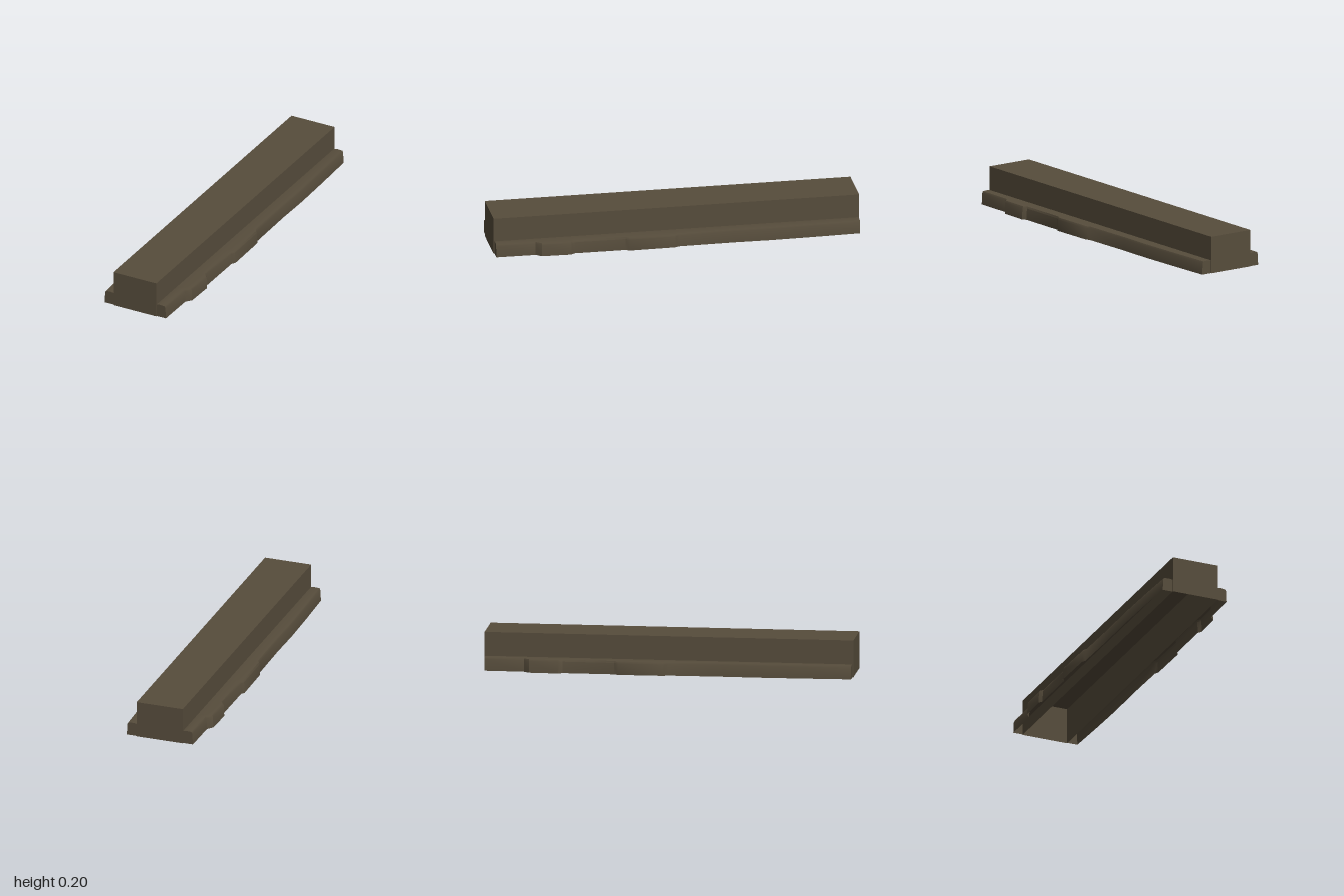
import * as THREE from 'three';
import { mergeVertices, toCreasedNormals } from 'three/addons/utils/BufferGeometryUtils.js';

const brown = new THREE.MeshStandardMaterial({ color: 0x574d3c, side: THREE.DoubleSide });
brown.name = 'earthBrown';

// Outer edge of the ledge along its length: [z, x]
const EDGE = [
  [-0.995, 0.19], [-0.75, 0.198], [-0.5, 0.203], [-0.3, 0.2], [0, 0.204],
  [0.02, 0.215], [0.27, 0.218], [0.29, 0.205], [0.57, 0.204], [0.59, 0.219],
  [0.75, 0.215], [0.78, 0.19], [0.995, 0.188],
];
const INNER = 0.132;

// Ledge skin: top, rounded shoulder and leaning outer wall, open below
function ledgeGeometry() {
  const section = (z, w) => [
    [INNER, 0.071, z], [w - 0.035, 0.074, z], [w - 0.008, 0.072, z],
    [w - 0.003, 0.062, z], [w, 0, z],
  ];
  const positions = [];
  const index = [];
  EDGE.forEach(([z, w]) => section(z, w).forEach((p) => positions.push(...p)));
  const n = 5;
  for (let i = 0; i < EDGE.length - 1; i++) {
    for (let j = 0; j < n - 1; j++) {
      const a = i * n + j, b = a + 1, c = a + n, d = c + 1;
      index.push(a, c, b, b, c, d);
    }
  }
  // End caps, fanned from the inner bottom corner
  [0, EDGE.length - 1].forEach((i) => {
    const corner = positions.length / 3;
    positions.push(INNER, 0, EDGE[i][0]);
    for (let j = 0; j < n - 1; j++) {
      const a = i * n + j;
      if (i === 0) index.push(corner, a, a + 1);
      else index.push(corner, a + 1, a);
    }
  });
  const g = new THREE.BufferGeometry();
  g.setAttribute('position', new THREE.Float32BufferAttribute(positions, 3));
  g.setIndex(index);
  return toCreasedNormals(mergeVertices(g), 0.6);
}

// Long block, hollow and open underneath
function blockGeometry() {
  const g = new THREE.BoxGeometry(INNER * 2, 0.202, 2);
  const faces = Array.from(g.index.array);
  faces.splice(18, 6); // remove the bottom face
  g.setIndex(faces);
  g.clearGroups();
  g.translate(0, 0.101, 0);
  return g;
}

export function createModel() {
  const model = new THREE.Group();
  model.name = 'ledgedBlock';

  const block = new THREE.Mesh(blockGeometry(), brown);
  block.name = 'mainBlock';
  model.add(block);

  // The two ledges are half-turn copies of one another
  const geometry = ledgeGeometry();
  ['leftLedge', 'rightLedge'].forEach((name, i) => {
    const ledge = new THREE.Mesh(geometry, brown);
    ledge.name = name;
    ledge.rotation.y = i * Math.PI;
    model.add(ledge);
  });
  return model;
}
